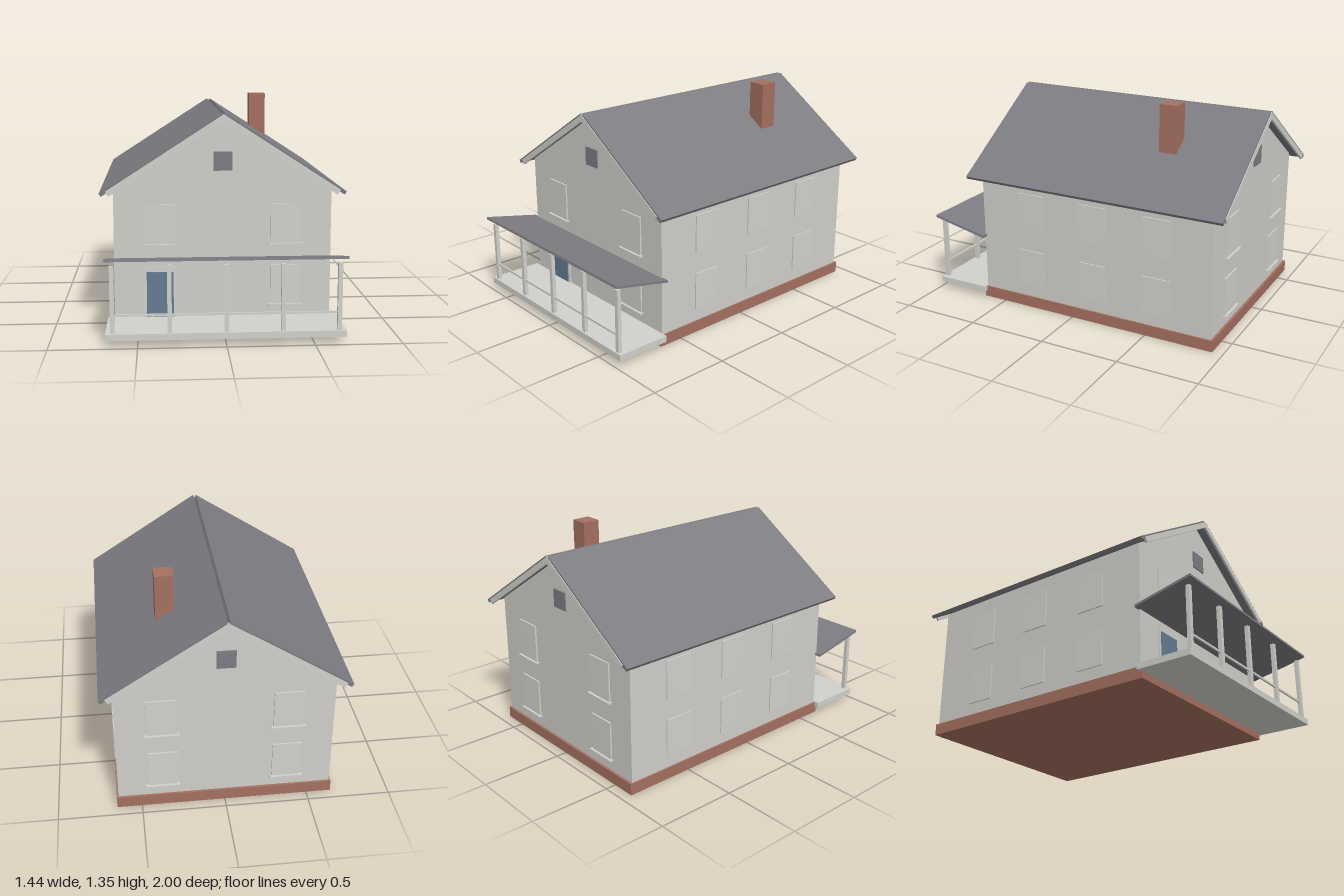
import * as THREE from 'three';

const mat = (name, color) => Object.assign(new THREE.MeshStandardMaterial({ color }), { name });

export function createModel() {
  const house = new THREE.Group();
  house.name = 'house';
  const siding = mat('siding', 0xd0cfca);
  const trim = mat('trim', 0xd1d1cc);
  const slate = mat('slate', 0x7d7c82);
  const brick = mat('brick', 0xa47060);
  const doorBlue = mat('doorBlue', 0x667b92);

  const add = (name, geometry, material) => {
    const mesh = new THREE.Mesh(geometry, material);
    mesh.name = name;
    house.add(mesh);
    return mesh;
  };
  // Box from its minimum and maximum corners
  const box = (name, material, [x0, x1], [y0, y1], [z0, z1]) => {
    const g = new THREE.BoxGeometry(x1 - x0, y1 - y0, z1 - z0);
    g.translate((x0 + x1) / 2, (y0 + y1) / 2, (z0 + z1) / 2);
    return add(name, g, material);
  };
  // Outline in x and y, extruded from z0 to z1
  const slab = (name, material, points, z0, z1) => {
    const shape = new THREE.Shape(points.map(([x, y]) => new THREE.Vector2(x, y)));
    const g = new THREE.ExtrudeGeometry(shape, { depth: z1 - z0, bevelEnabled: false });
    g.translate(0, 0, z0);
    return add(name, g, material);
  };

  // Base and gabled walls
  box('foundation', brick, [-0.65, 0.65], [0, 0.07], [-0.935, 0.655]);
  slab('walls', siding,
    [[-0.64, 0.065], [0.64, 0.065], [0.64, 0.845], [0, 1.255], [-0.64, 0.845]], -0.92, 0.64);

  // Roof slopes and gable boards, mirrored about the ridge
  for (const s of [-1, 1]) {
    const mirror = (pts) => pts.map(([x, y]) => [s * x, y]);
    slab('roofSlope', slate,
      mirror([[0, 1.265], [0.706, 0.81], [0.718, 0.828], [0.011, 1.284]]), -0.996, 0.708);
    const board = mirror([[-0.021, 1.252], [0.664, 0.811], [0.682, 0.84], [-0.002, 1.281]]);
    slab('frontGableBoard', trim, board, 0.698, 0.712);
    slab('backGableBoard', trim, board, -1, -0.986);
  }
  box('chimney', brick, [0.255, 0.365], [1.04, 1.345], [-0.555, -0.443]);

  // Attic vents
  box('frontVent', slate, [-0.056, 0.056], [0.948, 1.06], [0.638, 0.648]);
  box('backVent', slate, [-0.056, 0.056], [0.948, 1.06], [-0.928, -0.918]);

  // Gable-end windows with sills; the door takes the front lower corner
  const rows = [[0.148, 0.382], [0.517, 0.753]];
  rows.forEach(([y0, y1], row) => {
    for (const x of [-0.37, 0.37]) {
      for (const front of [true, false]) {
        if (front && row === 0 && x < 0) continue;
        const range = (d) => (front ? [0.635, 0.64 + d] : [-0.92 - d, -0.915]);
        box('window', trim, [x - 0.088, x + 0.088], [y0, y1], range(0.01));
        box('windowSill', trim, [x - 0.1, x + 0.1], [y0 - 0.01, y0], range(0.025));
      }
    }
    // Side windows
    for (const z of [-0.57, -0.14, 0.29]) {
      box('sideWindow', trim, [0.635, 0.648], [y0, y1], [z - 0.09, z + 0.09]);
      box('sideWindow', trim, [-0.648, -0.635], [y0, y1], [z - 0.09, z + 0.09]);
    }
  });

  // Front door
  box('doorFrame', trim, [-0.466, -0.274], [0.075, 0.38], [0.635, 0.65]);
  box('door', doorBlue, [-0.45, -0.292], [0.08, 0.35], [0.648, 0.655]);

  // Porch deck, posts, rail and sloped roof
  box('porchDeck', trim, [-0.68, 0.68], [0.04, 0.078], [0.64, 0.982]);
  for (let i = -2; i <= 2; i++) {
    const x = i * 0.32;
    box('porchPost', trim, [x - 0.0125, x + 0.0125], [0.075, 0.465], [0.948, 0.972]);
  }
  box('porchRail', trim, [-0.64, 0.64], [0.175, 0.187], [0.955, 0.965]);
  const porchRoof = slab('porchRoof', slate,
    [[-1, 0.495], [-0.63, 0.417], [-0.63, 0.432], [-0.997, 0.51]], -0.68, 0.68);
  porchRoof.rotation.y = Math.PI / 2;

  return house;
}
